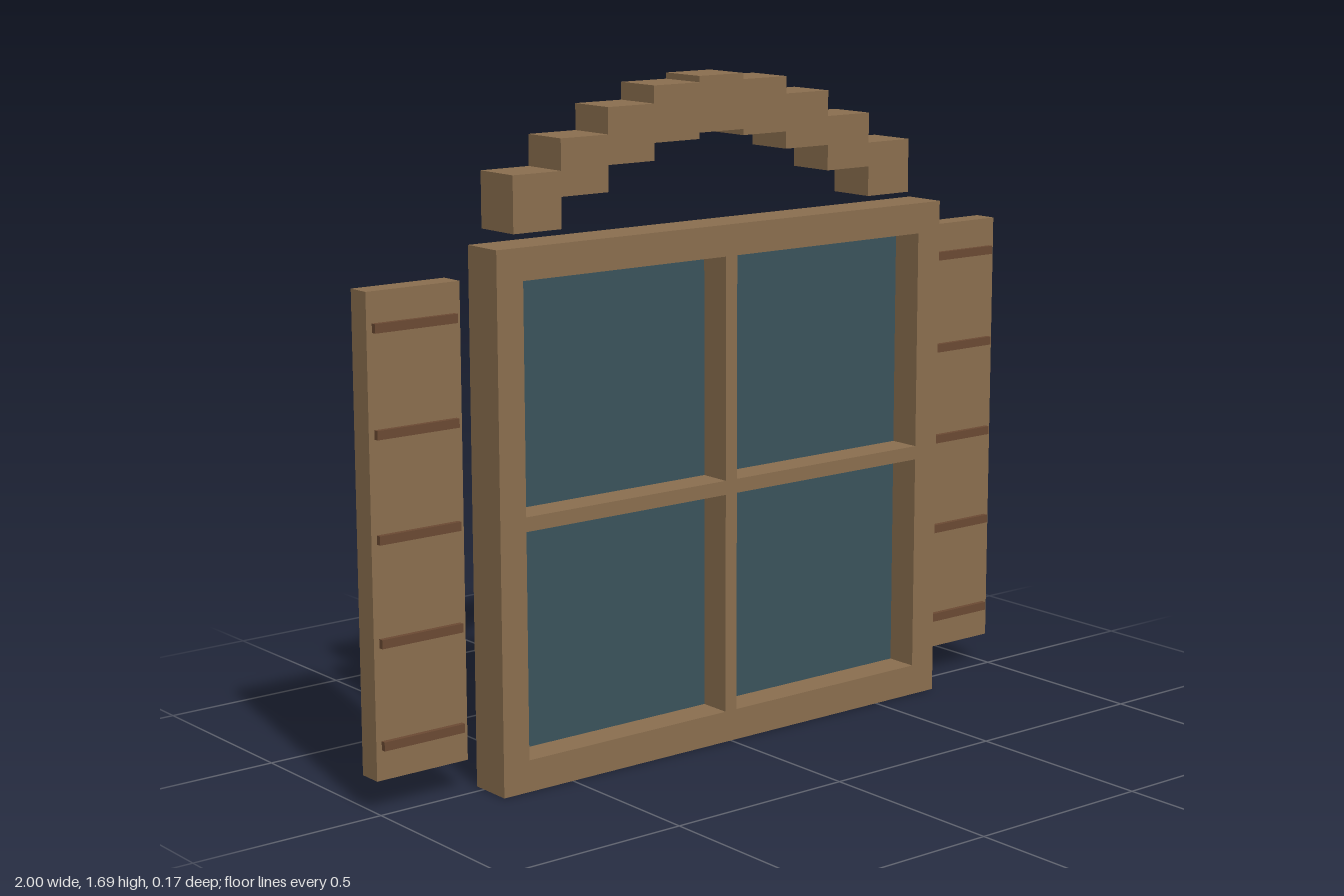
import * as THREE from 'three';

const wood = new THREE.MeshStandardMaterial({ color: 0x8b6f4f });
const darkWood = new THREE.MeshStandardMaterial({ color: 0x6b4a33 });
const glass = new THREE.MeshStandardMaterial({ color: 0x3a535c });

// Box given by its extents along each axis
function box(name, [x0, x1], [y0, y1], [z0, z1], material) {
  const mesh = new THREE.Mesh(new THREE.BoxGeometry(x1 - x0, y1 - y0, z1 - z0), material);
  mesh.position.set((x0 + x1) / 2, (y0 + y1) / 2, (z0 + z1) / 2);
  mesh.name = name;
  return mesh;
}

function rectangle(path, x, y0, y1) {
  path.moveTo(-x, y0);
  path.lineTo(x, y0);
  path.lineTo(x, y1);
  path.lineTo(-x, y1);
  path.closePath();
  return path;
}

const FRONT = 0.085, BACK = -0.03;
const OPEN_X = 0.63, OPEN_Y0 = 0.08, OPEN_Y1 = 1.247;
const MID_Y = (OPEN_Y0 + OPEN_Y1) / 2, BAR = 0.018;

function createWindow() {
  const group = new THREE.Group();
  group.name = 'window';

  // Outer frame with one large opening
  const shape = rectangle(new THREE.Shape(), 0.705, 0, 1.326);
  shape.holes.push(rectangle(new THREE.Path(), OPEN_X, OPEN_Y0, OPEN_Y1));
  const frame = new THREE.Mesh(
    new THREE.ExtrudeGeometry(shape, { depth: FRONT - BACK, bevelEnabled: false }), wood);
  frame.position.z = BACK;
  frame.name = 'frame';

  // Pane, and crossing glazing bars in front of it
  group.add(
    frame,
    box('glassPane', [-OPEN_X, OPEN_X], [OPEN_Y0, OPEN_Y1], [-0.018, 0], glass),
    box('verticalBar', [-BAR, BAR], [OPEN_Y0, OPEN_Y1], [0, FRONT], wood),
    box('leftBar', [BAR, OPEN_X], [MID_Y - BAR, MID_Y + BAR], [0, FRONT], wood),
    box('rightBar', [-OPEN_X, -BAR], [MID_Y - BAR, MID_Y + BAR], [0, FRONT], wood));
  return group;
}

// Shutter panel with five thin slats on its front
function createShutter(name, side) {
  const group = new THREE.Group();
  group.name = name;
  group.add(box('shutterPanel', [-0.129, 0.129], [OPEN_Y0, OPEN_Y1], [-0.075, -0.013], wood));
  for (let i = 0; i < 5; i++) {
    const y = MID_Y + (i - 2) * 0.249;
    group.add(box('slat', [-0.114, 0.114], [y - 0.011, y + 0.011], [-0.017, 0], darkWood));
  }
  group.position.x = side * 0.871;
  return group;
}

// Stepped arch of nine blocks following a sine curve
function createArch() {
  const group = new THREE.Group();
  group.name = 'arch';
  const step = 0.1395;
  for (let i = 0; i < 9; i++) {
    const x = (i - 4) * step;
    const y = 1.421 + 0.2 * Math.sin((Math.PI * i) / 8);
    group.add(box('archBlock', [x - step / 2, x + step / 2], [y - 0.069, y + 0.069], [-0.085, 0.045], wood));
  }
  return group;
}

export function createModel() {
  const model = new THREE.Group();
  model.name = 'shutteredWindow';
  model.add(createWindow(), createShutter('leftShutter', 1), createShutter('rightShutter', -1), createArch());
  return model;
}
